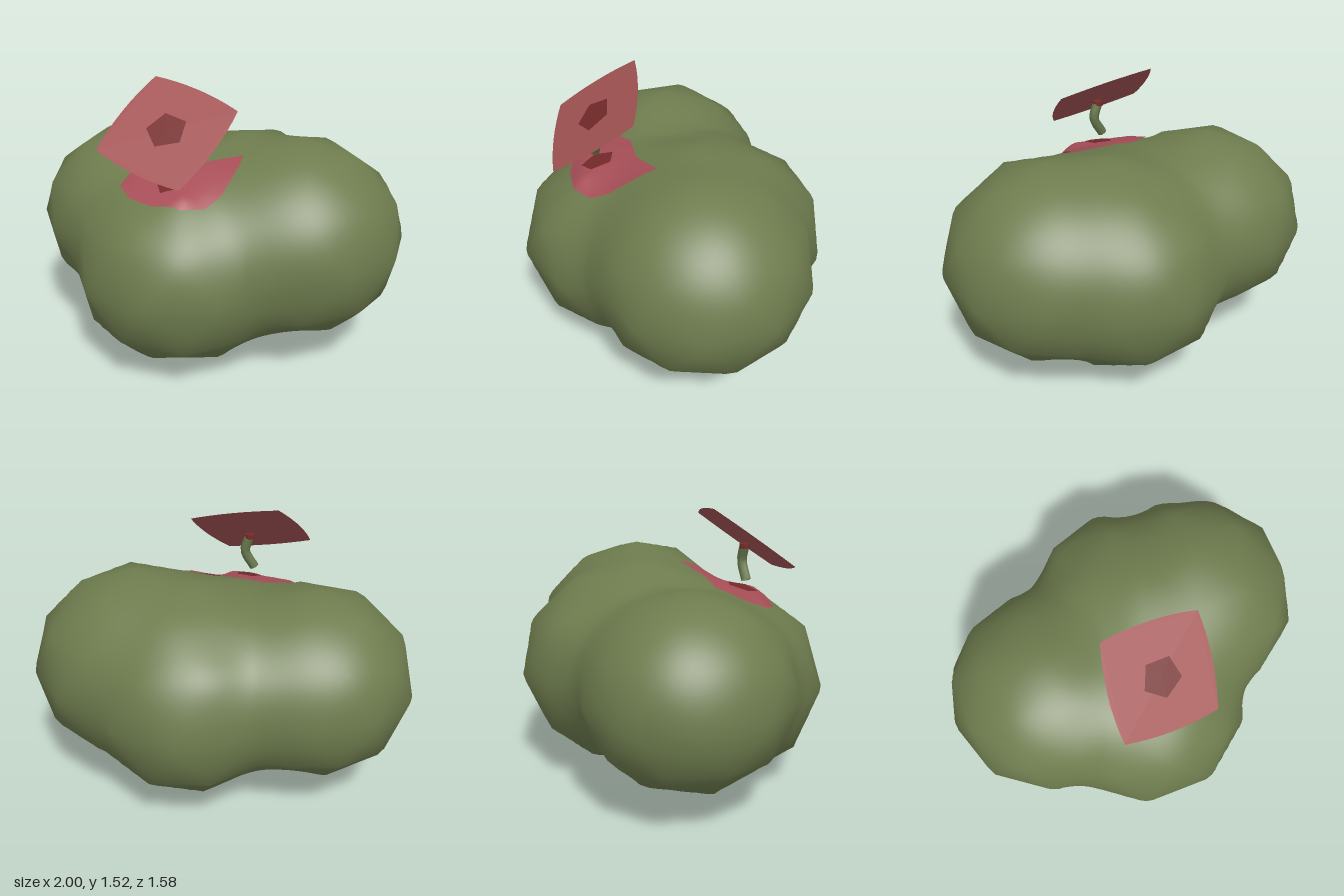
import * as THREE from 'three';
import { mergeVertices } from 'three/addons/utils/BufferGeometryUtils.js';

const mat = (name, color, side = THREE.FrontSide) => {
  const m = new THREE.MeshStandardMaterial({ color, side });
  m.name = name;
  return m;
};

// Squashed ball with a corner at its pole
const lobe = (centre, radii) => {
  const g = new THREE.IcosahedronGeometry(1, 1);
  g.rotateZ(-Math.atan(2 / (1 + Math.sqrt(5))));
  g.scale(...radii).translate(...centre);
  return new THREE.Mesh(g, new THREE.MeshBasicMaterial({ side: THREE.DoubleSide }));
};

// One skin shrunk over all lobes, with the hollows between them filled
function skinOver(lobes, centre) {
  let g = new THREE.IcosahedronGeometry(1, 22);
  g.deleteAttribute('normal');
  g.deleteAttribute('uv');
  g = mergeVertices(g, 1e-4);
  const pos = g.attributes.position;
  const ray = new THREE.Raycaster();
  const points = [];
  for (let i = 0; i < pos.count; i++) {
    const dir = new THREE.Vector3().fromBufferAttribute(pos, i).normalize();
    ray.set(centre, dir);
    points.push(ray.intersectObjects(lobes).at(-1).point.clone());
  }

  // Neighbours of each vertex
  const near = points.map(() => new Set());
  const idx = g.index.array;
  for (let i = 0; i < idx.length; i += 3) {
    for (let k = 0; k < 3; k++) {
      const a = idx[i + k], b = idx[i + (k + 1) % 3];
      near[a].add(b);
      near[b].add(a);
    }
  }
  const average = (list, i) => {
    const sum = new THREE.Vector3();
    near[i].forEach((j) => sum.add(list[j]));
    return sum.divideScalar(near[i].size);
  };
  const update = () => {
    points.forEach((p, i) => pos.setXYZ(i, p.x, p.y, p.z));
    g.computeVertexNormals();
    return points.map((_, i) => new THREE.Vector3().fromBufferAttribute(g.attributes.normal, i));
  };

  // Raise hollow vertices only, so the lobes keep their shape
  for (let pass = 0; pass < 70; pass++) {
    const normals = update();
    const rise = points.map((p, i) => Math.max(0, average(points, i).sub(p).dot(normals[i])));
    points.forEach((p, i) => p.addScaledVector(normals[i], rise[i]));
  }

  // Soften the normals across the facets
  let normals = update();
  for (let pass = 0; pass < 20; pass++) {
    normals = normals.map((n, i) => average(normals, i).add(n).normalize());
  }
  normals.forEach((n, i) => g.attributes.normal.setXYZ(i, n.x, n.y, n.z));
  return g;
}

export function createModel() {
  const group = new THREE.Group();
  const green = mat('mossGreen', 0x6e7c4e);
  const stemGreen = mat('stemGreen', 0x66774c, THREE.DoubleSide);
  const petalRed = mat('petalRed', 0xa35353, THREE.DoubleSide);
  const lowRed = mat('rosePetal', 0xa84f58, THREE.DoubleSide);
  const heartRed = mat('flowerHeart', 0x752a2a, THREE.DoubleSide);

  const add = (name, geometry, material, parent = group) => {
    const mesh = new THREE.Mesh(geometry, material);
    mesh.name = name;
    parent.add(mesh);
    return mesh;
  };

  // Body of four merged lobes: right, left, front, back
  const body = add('body', skinOver([
    lobe([-0.49, 0.68, -0.12], [0.537, 0.51, 0.556]),
    lobe([0.45, 0.69, -0.03], [0.578, 0.54, 0.575]),
    lobe([-0.11, 0.555, 0.16], [0.6, 0.552, 0.635]),
    lobe([0.15, 0.63, -0.11], [0.58, 0.58, 0.69]),
  ], new THREE.Vector3(-0.031, 0.637, 0.007)), green);

  // Height of the body under a point
  const ray = new THREE.Raycaster();
  const down = new THREE.Vector3(0, -1, 0);
  const heightAt = (x, z) => {
    ray.set(new THREE.Vector3(x, 3, z), down);
    const hits = ray.intersectObject(body);
    return hits.length ? hits[0].point.y : 1;
  };

  // Thin patch that follows the body, made of rings around a centre
  const drape = (outline, [cx, cz], lift) => {
    const edge = [];
    const steps = 4, rings = 8;
    outline.forEach(([x, z], i) => {
      const [nx, nz] = outline[(i + 1) % outline.length];
      for (let k = 0; k < steps; k++) edge.push([x + (nx - x) * k / steps, z + (nz - z) * k / steps]);
    });
    const pos = [], index = [], n = edge.length;
    for (let r = 0; r <= rings; r++) {
      for (const [ex, ez] of edge) {
        const x = cx + (ex - cx) * r / rings, z = cz + (ez - cz) * r / rings;
        pos.push(x, heightAt(x, z) + lift, z);
      }
    }
    for (let r = 0; r < rings; r++) {
      for (let i = 0; i < n; i++) {
        const j = (i + 1) % n, a = r * n + i, b = r * n + j, c = a + n, d = b + n;
        if (r > 0) index.push(a, d, b);
        index.push(a, c, d);
      }
    }
    // Outlines run clockwise seen from above, so the order is turned to face up
    const g = new THREE.BufferGeometry();
    g.setAttribute('position', new THREE.Float32BufferAttribute(pos, 3));
    g.setIndex(index.reverse());
    g.computeVertexNormals();
    return g;
  };

  // Flower lying on the body
  const centre = [-0.11, 0.36];
  add('lyingPetals', drape([
    [-0.36, 0.24], [-0.2, 0.16], [0, 0.18], [0.2, 0.13], [0.2, 0.22], [0.16, 0.37],
    [0.1, 0.46], [0, 0.52], [-0.16, 0.505], [-0.3, 0.45], [-0.38, 0.37],
  ], centre, 0.007), lowRed);
  const pentagon = Array.from({ length: 5 }, (_, i) => {
    const a = Math.PI + i * Math.PI * 2 / 5;
    return [centre[0] + 0.075 * Math.cos(a), centre[1] + 0.09 * Math.sin(a)];
  });
  add('lyingHeart', drape(pentagon, centre, 0.013), heartRed);

  // Tilted flower above: a flat square with bowed edges
  const flower = new THREE.Group();
  flower.name = 'raisedFlower';
  flower.position.set(-0.125, 1.325, 0.36);
  flower.rotation.x = -Math.atan2(0.79, 0.61);
  group.add(flower);
  const at = (radius, angle) => [radius * Math.cos(angle), radius * Math.sin(angle)];
  const shape = new THREE.Shape();
  const turn = 0.436;
  shape.moveTo(...at(0.357, turn));
  for (let i = 0; i < 4; i++) {
    const a = turn + i * Math.PI / 2;
    shape.quadraticCurveTo(...at(0.3, a + Math.PI / 4), ...at(0.357, a + Math.PI / 2));
  }
  add('petals', new THREE.ShapeGeometry(shape, 8), petalRed, flower);
  add('heart', new THREE.CircleGeometry(0.105, 5, Math.PI), heartRed, flower).position.z = 0.004;

  // Bent stem with a red collar under the petals
  const stem = new THREE.CatmullRomCurve3([
    new THREE.Vector3(-0.14, 1.105, 0.368),
    new THREE.Vector3(-0.088, 1.2, 0.368),
    new THREE.Vector3(-0.112, 1.285, 0.368),
  ]);
  add('stem', new THREE.TubeGeometry(stem, 8, 0.027, 8), stemGreen);
  add('collar', new THREE.CylinderGeometry(0.029, 0.029, 0.024, 8), heartRed).position.set(-0.113, 1.284, 0.368);

  return group;
}
